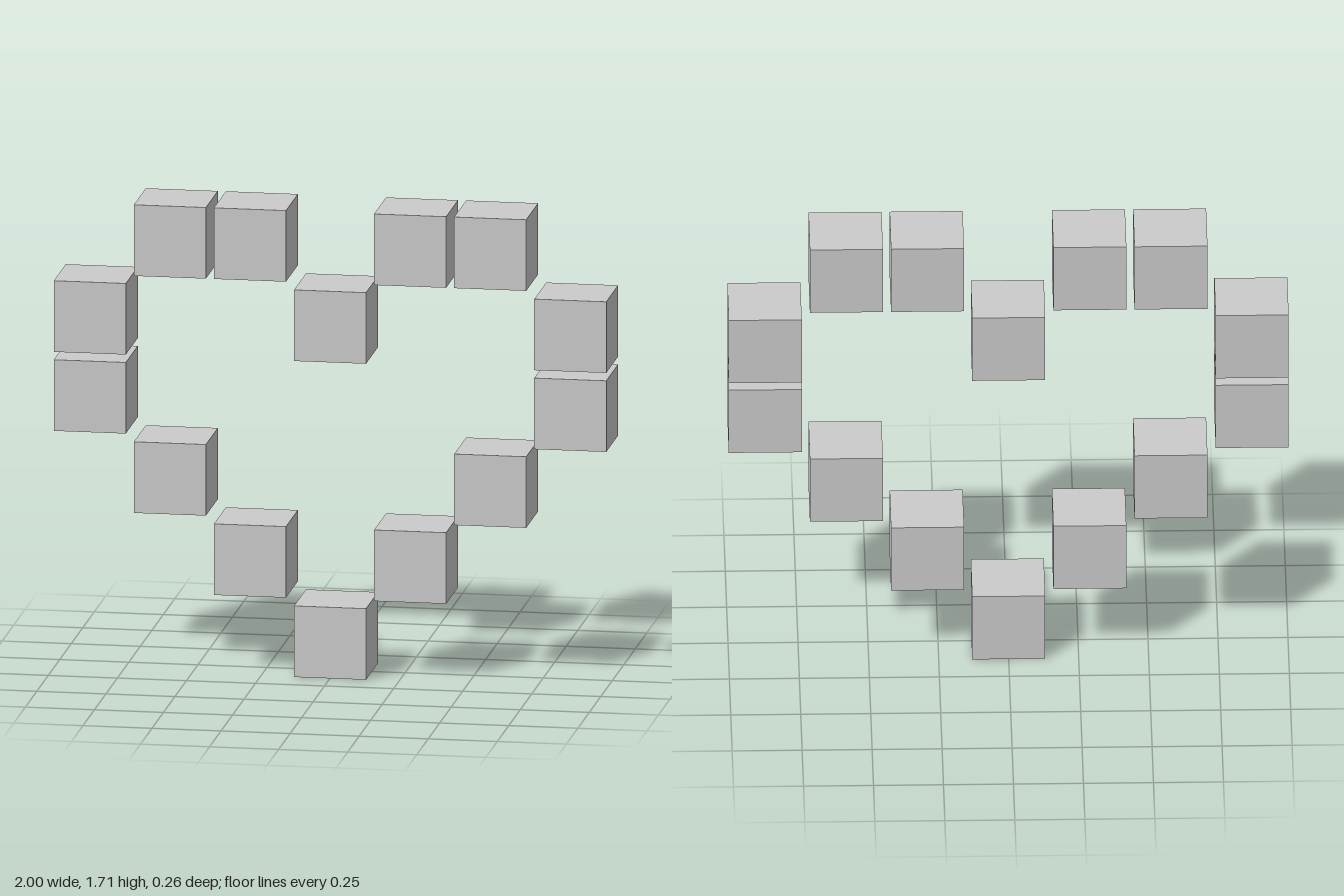
import * as THREE from 'three';

export function createModel() {
  const pitch = 2 / 6.9; // seven cells wide, each cube fills 90% of its cell
  const size = pitch * 0.9;
  const geometry = new THREE.BoxGeometry(size, size, size);
  const material = new THREE.MeshStandardMaterial({ color: 0xcccccc, flatShading: true });
  const heart = new THREE.Group();
  heart.name = 'heartOfCubes';

  const addCube = (name, column, row) => {
    const cube = new THREE.Mesh(geometry, material);
    cube.name = name;
    cube.position.set(column * pitch, size / 2 + row * pitch, 0);
    heart.add(cube);
  };

  // Cubes on the centre line
  addCube('bottomCube', 0, 0);
  addCube('notchCube', 0, 4);

  // One half of the outline as [column, row], mirrored to the other side
  const half = [[1, 1], [2, 2], [3, 3], [3, 4], [2, 5], [1, 5]];
  half.forEach(([column, row], i) => {
    addCube(`leftCube${i + 1}`, column, row);
    addCube(`rightCube${i + 1}`, -column, row);
  });

  return heart;
}
